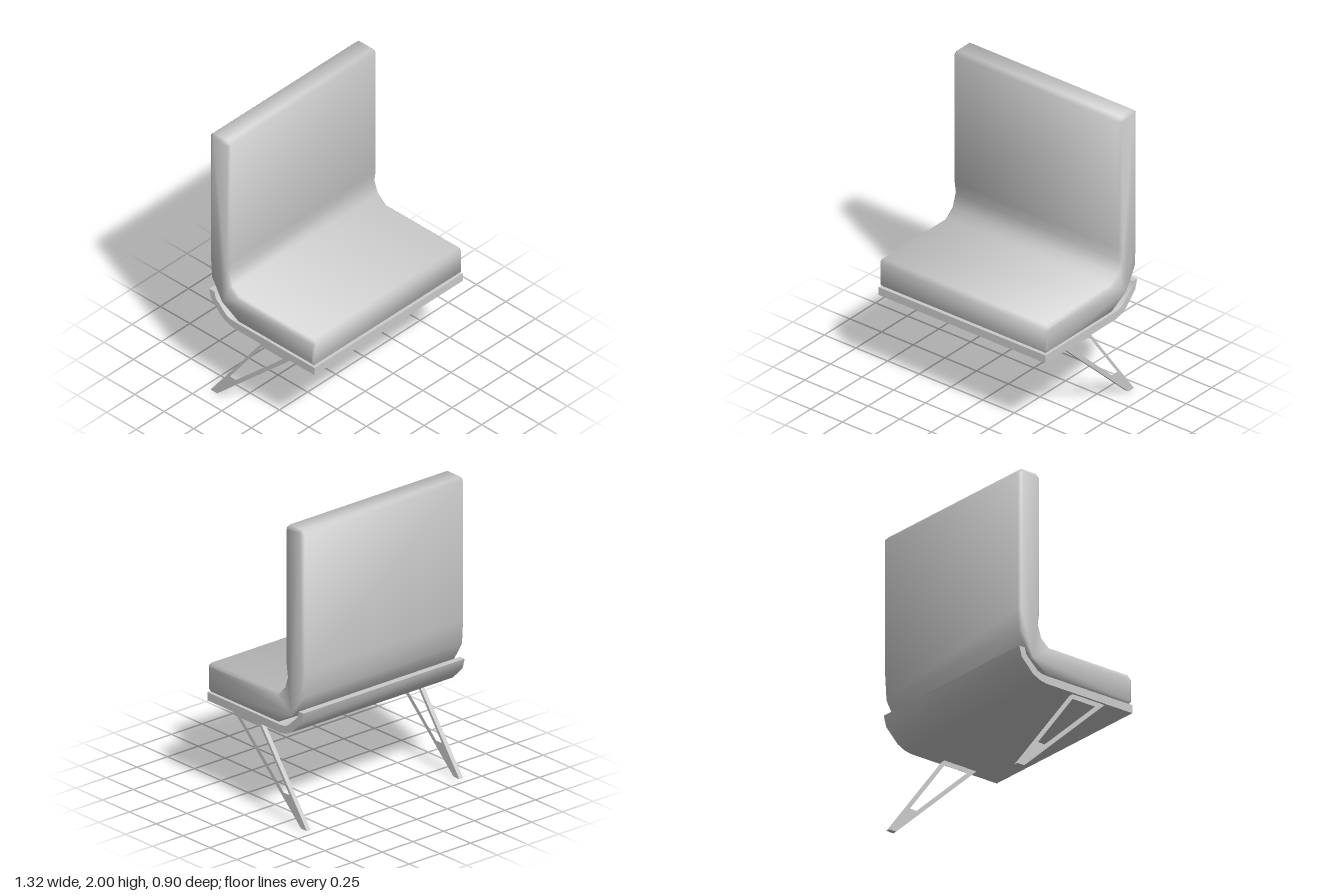
import * as THREE from 'three';
import { toCreasedNormals } from 'three/addons/utils/BufferGeometryUtils.js';

const material = new THREE.MeshStandardMaterial({ color: 0xcccccc });

// Side profiles are [z, y] points, extruded across the width (x).
const toVectors = (points) => points.map(([z, y]) => new THREE.Vector2(-z, y));

function profileMesh(name, points, { width, x = 0, bevel = 0, crease = 0.6, hole }) {
  const shape = new THREE.Shape(toVectors(points));
  if (hole) shape.holes.push(new THREE.Path(toVectors(hole)));
  const depth = width - 2 * bevel;
  const geometry = new THREE.ExtrudeGeometry(shape, {
    depth,
    bevelEnabled: bevel > 0,
    bevelThickness: bevel,
    bevelSize: bevel,
    bevelOffset: -bevel,
    bevelSegments: 1,
  });
  geometry.translate(0, 0, -depth / 2);
  geometry.rotateY(Math.PI / 2);
  const mesh = new THREE.Mesh(toCreasedNormals(geometry, crease), material);
  mesh.name = name;
  mesh.position.x = x;
  return mesh;
}

export function createModel() {
  const chair = new THREE.Group();
  chair.name = 'chair';

  // One-piece padded seat and backrest
  const cushion = [
    [0.45, 0.675], [0.45, 0.825], [0.425, 0.85], [-0.2, 0.85],
    [-0.26, 0.9], [-0.287, 0.985], [-0.275, 1.07], [-0.275, 1.975],
    [-0.3, 2], [-0.42, 2], [-0.445, 1.975], [-0.445, 1.05],
    [-0.435, 0.89], [-0.345, 0.735], [-0.2, 0.655], [0.43, 0.655],
  ];
  chair.add(profileMesh('cushion', cushion, { width: 1.317, bevel: 0.015, crease: 1.1 }));

  // Thin shell below the cushion, curling up at the back
  const shell = [
    [0.45, 0.65], [0.45, 0.595], [-0.23, 0.595], [-0.28, 0.604],
    [-0.335, 0.63], [-0.425, 0.72], [-0.445, 0.79], [-0.402, 0.79],
    [-0.388, 0.745], [-0.3, 0.665], [-0.27, 0.652], [-0.22, 0.648],
  ];
  chair.add(profileMesh('seatShell', shell, { width: 1.317, crease: 0.7 }));

  // Raked open-frame legs
  const leg = [[0.245, 0.597], [-0.008, 0.597], [-0.447, 0], [-0.392, 0]];
  const opening = [[0.167, 0.562], [-0.01, 0.562], [-0.283, 0.19], [-0.232, 0.188]];
  for (const [name, x] of [['leftLeg', 0.616], ['rightLeg', -0.628]]) {
    chair.add(profileMesh(name, leg, { width: 0.03, x, hole: opening }));
  }

  return chair;
}
